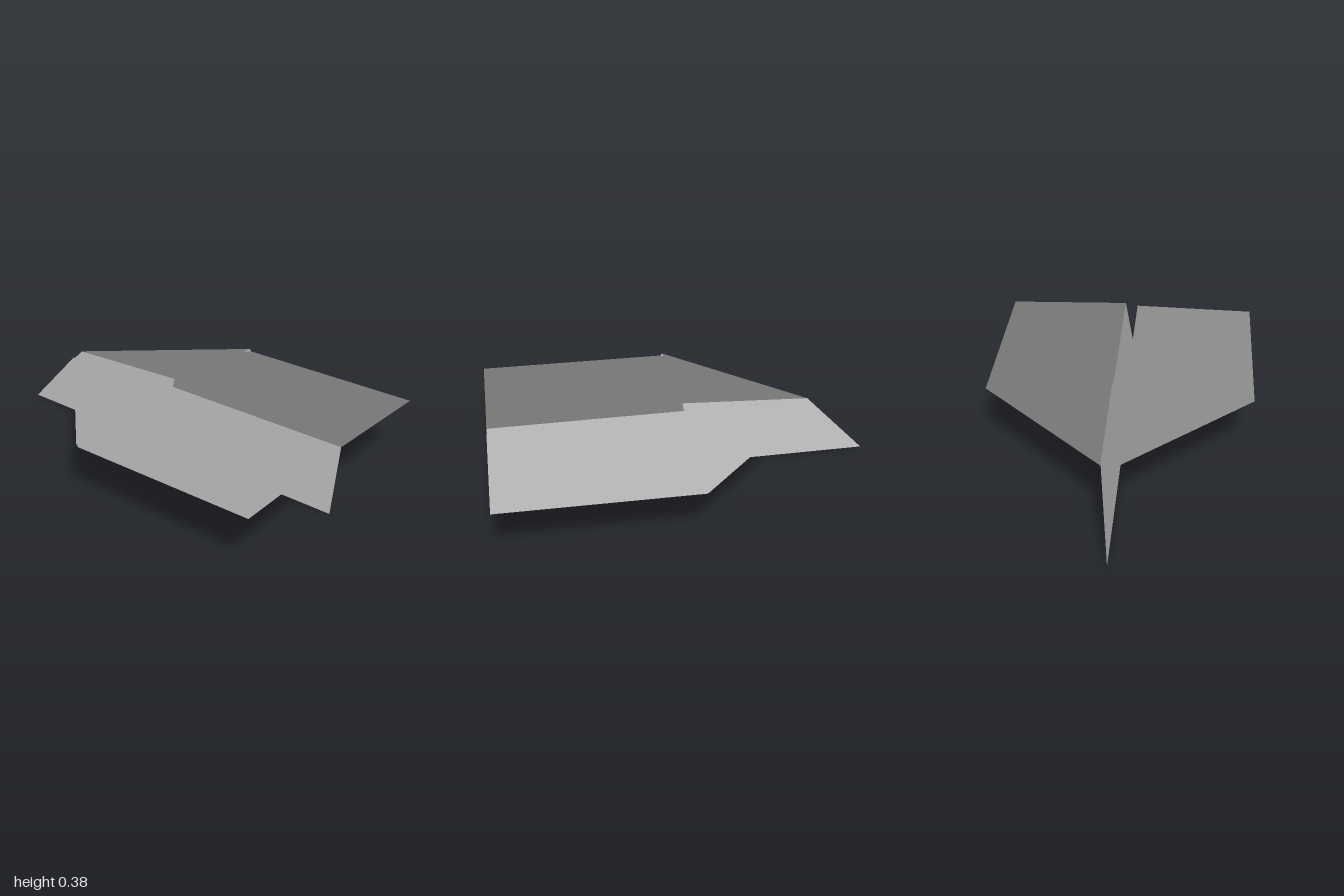
import * as THREE from 'three';

const paper = new THREE.MeshStandardMaterial({ color: 0xcccccc, side: THREE.DoubleSide });

// A sheet of paper: corners in order, filled as a fan.
// Every panel keeps the sideways normal of the unfolded sheet, so creases shade evenly.
function panel(name, corners) {
  const positions = [];
  const normals = [];
  for (let i = 1; i < corners.length - 1; i++) {
    positions.push(...corners[0], ...corners[i], ...corners[i + 1]);
    normals.push(0, 0, 1, 0, 0, 1, 0, 0, 1);
  }
  const geometry = new THREE.BufferGeometry();
  geometry.setAttribute('position', new THREE.Float32BufferAttribute(positions, 3));
  geometry.setAttribute('normal', new THREE.Float32BufferAttribute(normals, 3));
  const mesh = new THREE.Mesh(geometry, paper);
  mesh.name = name;
  return mesh;
}

// One half of the folded plane; side is +1 or -1 along z, lift raises its wing
function half(name, side, lift, foldZ) {
  const group = new THREE.Group();
  group.name = name;

  // Keel crease
  const nose = [-1, 0, 0.02];
  const keelRear = [1, 0, 0.025];

  // Outer sheet: crease beside the body, then the wing outline
  const creaseFront = [-0.68, 0.325 + lift * 0.5, foldZ];
  const creaseRear = [1, 0.325 + lift, side * 0.035];
  const tipRear = [1, 0.31 + lift, side * 0.7];
  const tipFront = [0, 0.3 + lift, side * 0.7];

  // Corner flap folded over the wing and down into the body
  const flapFront = [-0.68, 0.335 + lift, foldZ];
  const flapRear = [-0.01, 0.37 + lift, side * 0.035];
  const flapTip = [-0.01, 0.312 + lift, side * 0.7];
  const flapCorner = [-0.06, 0.06, 0.02];

  group.add(
    panel('bodyWall', [nose, keelRear, creaseRear, creaseFront]),
    panel('wing', [creaseFront, creaseRear, tipRear, tipFront]),
    panel('wingFlap', [flapFront, flapRear, flapTip]),
    panel('bodyFlap', [nose, flapCorner, flapRear, flapFront]),
    // Narrow turned edges joining the two layers
    panel('wingFold', [creaseFront, tipFront, flapTip, flapFront]),
    panel('noseFold', [nose, creaseFront, flapFront]),
  );
  return group;
}

export function createModel() {
  const plane = new THREE.Group();
  plane.name = 'paperPlane';
  plane.add(half('frontHalf', 1, 0, 0.03), half('backHalf', -1, 0.015, -0.035));
  return plane;
}
